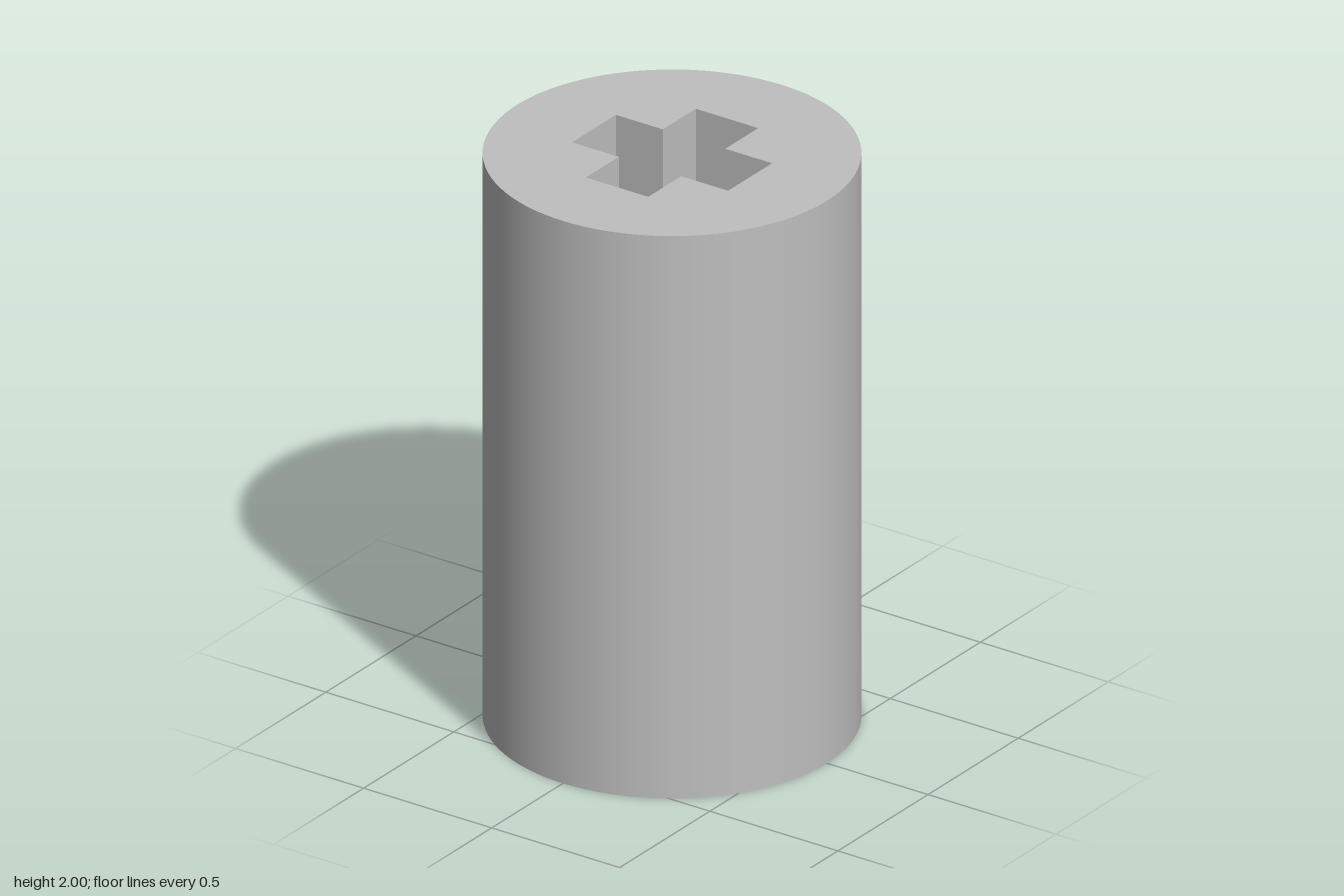
import * as THREE from 'three';
import { toCreasedNormals } from 'three/addons/utils/BufferGeometryUtils.js';

const RADIUS = 0.605, HEIGHT = 2, SEGMENTS = 96;

// Plus-shaped socket outline, counter-clockwise
function crossOutline(arm, half) {
  const corner = [[arm, -half], [arm, half], [half, half]];
  const points = [];
  for (let i = 0; i < 4; i++) {
    for (const [x, y] of corner) {
      points.push(new THREE.Vector2(x, y).rotateAround(new THREE.Vector2(), i * Math.PI / 2));
    }
  }
  return points;
}

// Round socket outline with two parallel flats at x = +-flat
function doubleFlatOutline(radius, flat, steps = 24) {
  const start = Math.acos(flat / radius);
  const points = [];
  for (const turn of [0, Math.PI]) {
    for (let i = 0; i <= steps; i++) {
      const a = turn + start + (Math.PI - 2 * start) * i / steps;
      points.push(new THREE.Vector2(radius * Math.cos(a), radius * Math.sin(a)));
    }
  }
  return points;
}

// Inward-facing walls that run from z = 0 down to z = -depth
function socketWalls(points, depth) {
  const positions = [];
  points.forEach((a, i) => {
    const b = points[(i + 1) % points.length];
    positions.push(
      a.x, a.y, 0, b.x, b.y, 0, b.x, b.y, -depth,
      a.x, a.y, 0, b.x, b.y, -depth, a.x, a.y, -depth);
  });
  const geometry = new THREE.BufferGeometry();
  geometry.setAttribute('position', new THREE.Float32BufferAttribute(positions, 3));
  return toCreasedNormals(geometry, Math.PI / 6);
}

// End face with a blind socket, facing +z
function socketEnd(name, outline, depth, material) {
  const end = new THREE.Group();
  end.name = name;
  const add = (part, geometry, z = 0) => {
    const mesh = new THREE.Mesh(geometry, material);
    mesh.name = name + part;
    mesh.position.z = z;
    end.add(mesh);
  };
  const disc = new THREE.Shape().absarc(0, 0, RADIUS, 0, Math.PI * 2);
  disc.holes.push(new THREE.Path(outline));
  add('Face', new THREE.ShapeGeometry(disc, SEGMENTS / 2));
  add('Walls', socketWalls(outline, depth));
  add('Floor', new THREE.ShapeGeometry(new THREE.Shape(outline)), -depth);
  return end;
}

export function createModel() {
  const model = new THREE.Group();
  model.name = 'shaftCoupler';
  const grey = new THREE.MeshStandardMaterial({ color: 0xbfbfbf });
  grey.name = 'grey';

  // Outer sleeve
  const sleeve = new THREE.Mesh(
    new THREE.CylinderGeometry(RADIUS, RADIUS, HEIGHT, SEGMENTS, 1, true), grey);
  sleeve.name = 'sleeve';
  sleeve.position.y = HEIGHT / 2;
  model.add(sleeve);

  // Cross axle socket on top
  const top = socketEnd('crossSocket', crossOutline(0.305, 0.122), 0.98, grey);
  top.rotation.x = -Math.PI / 2;
  top.position.y = HEIGHT;
  model.add(top);

  // Flattened shaft socket underneath
  const bottom = socketEnd('shaftSocket', doubleFlatOutline(0.342, 0.24), 0.9, grey);
  bottom.rotation.x = Math.PI / 2;
  model.add(bottom);

  return model;
}
